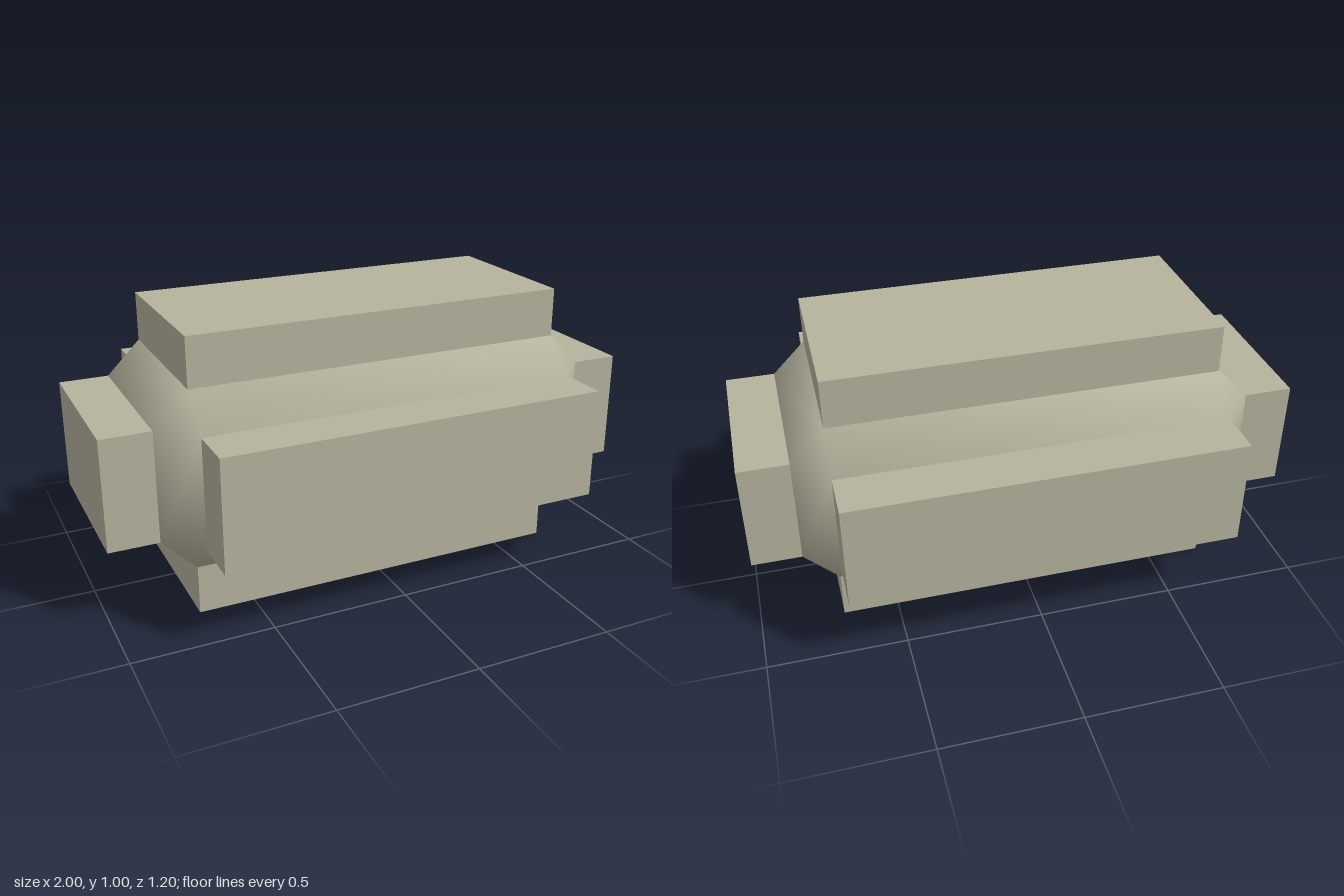
import * as THREE from 'three';

const HALF = [0.7, 0.2, 0.3];   // half size of the pads' shared inner box
const BEVEL = 0.1225;           // how far the core swells past that box
const REACH = 0.3;              // how far each pad's outer face stands off it

// Core corner vertex pushed out along one axis, with a softened normal
function coreVertex(axis, signs) {
  const position = new THREE.Vector3(...signs.map((s, i) => s * (HALF[i] + (i === axis ? BEVEL : 0))));
  const normal = new THREE.Vector3(...signs.map((s, i) => s * (i === axis ? 2 : 1))).normalize();
  return { position, normal };
}

// Bevelled shell: twelve edge strips and eight corner triangles, smoothly shaded
function coreGeometry() {
  const positions = [], normals = [];
  const addTriangle = (a, b, c) => {
    const facing = b.position.clone().sub(a.position).cross(c.position.clone().sub(a.position));
    const outward = a.normal.clone().add(b.normal).add(c.normal);
    const order = facing.dot(outward) > 0 ? [a, b, c] : [a, c, b];
    for (const v of order) {
      positions.push(...v.position.toArray());
      normals.push(...v.normal.toArray());
    }
  };
  for (const sx of [-1, 1]) for (const sy of [-1, 1]) for (const sz of [-1, 1]) {
    const signs = [sx, sy, sz];
    addTriangle(coreVertex(0, signs), coreVertex(1, signs), coreVertex(2, signs));
    for (let along = 0; along < 3; along++) {
      if (signs[along] < 0) continue;   // each strip is built once, from its positive end
      const far = signs.map((s, i) => (i === along ? -s : s));
      const a = (along + 1) % 3, b = (along + 2) % 3;
      addTriangle(coreVertex(a, signs), coreVertex(b, signs), coreVertex(b, far));
      addTriangle(coreVertex(a, signs), coreVertex(b, far), coreVertex(a, far));
    }
  }
  const geometry = new THREE.BufferGeometry();
  geometry.setAttribute('position', new THREE.Float32BufferAttribute(positions, 3));
  geometry.setAttribute('normal', new THREE.Float32BufferAttribute(normals, 3));
  return geometry;
}

export function createModel() {
  const model = new THREE.Group();
  model.name = 'paddedBlock';
  const stone = new THREE.MeshStandardMaterial({ name: 'warmGrey', color: 0xb5b29d });

  const core = new THREE.Mesh(coreGeometry(), stone);
  core.name = 'core';
  core.position.y = 0.5;
  model.add(core);

  // One rectangular pad on each of the six sides, closing the shell
  const names = [['rightPad', 'leftPad'], ['bottomPad', 'topPad'], ['backPad', 'frontPad']];
  names.forEach((pair, axis) => pair.forEach((name, i) => {
    const size = HALF.map((h, k) => (k === axis ? REACH - BEVEL : 2 * h));
    const pad = new THREE.Mesh(new THREE.BoxGeometry(...size), stone);
    pad.name = name;
    pad.position.y = 0.5;
    const offset = (i ? 1 : -1) * (HALF[axis] + (BEVEL + REACH) / 2);
    pad.position.setComponent(axis, pad.position.getComponent(axis) + offset);
    model.add(pad);
  }));

  return model;
}
